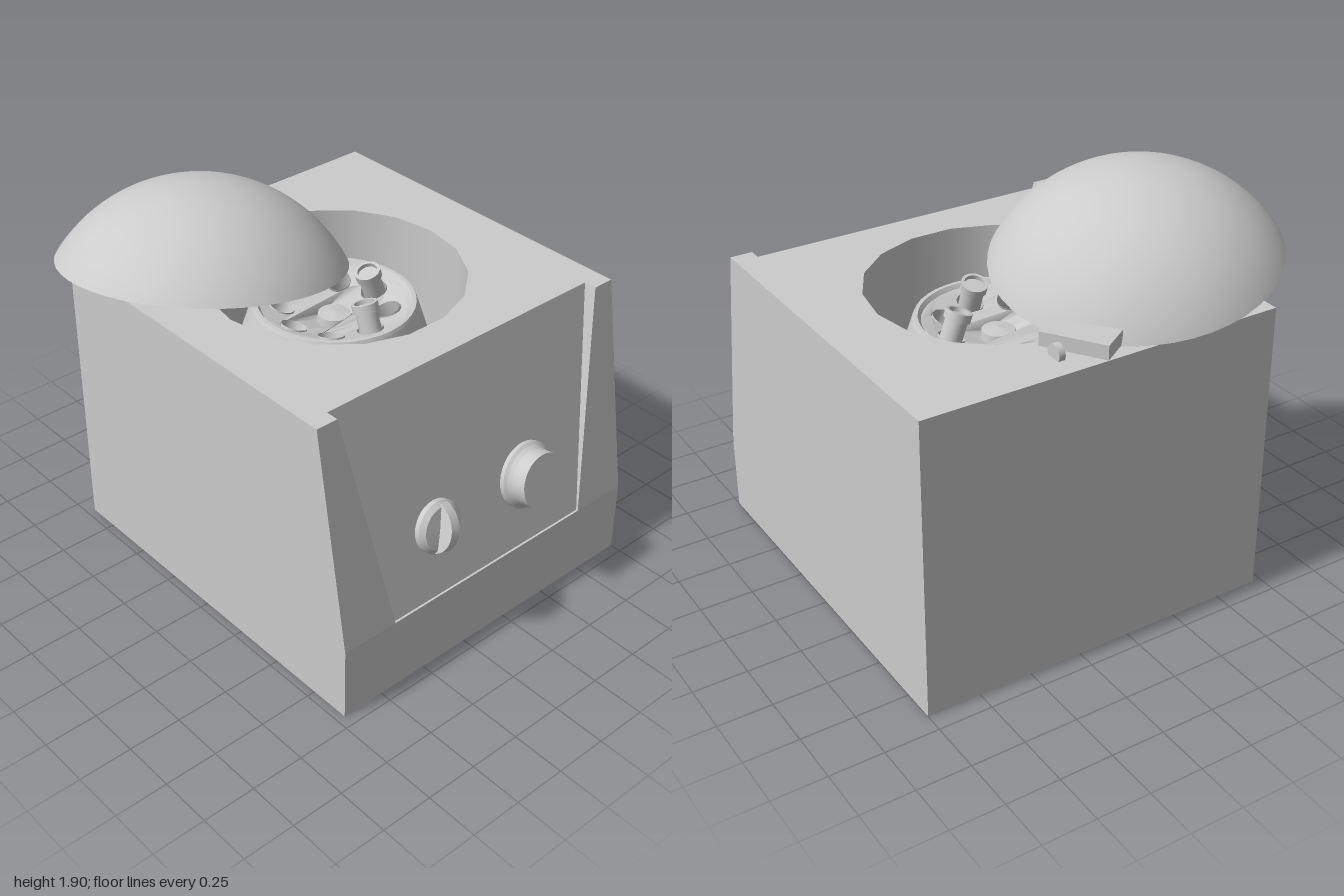
import * as THREE from 'three';

const mat = new THREE.MeshStandardMaterial({ color: 0xcccccc, side: THREE.DoubleSide });

function add(parent, name, geometry, x = 0, y = 0, z = 0) {
  const mesh = new THREE.Mesh(geometry, mat);
  mesh.name = name;
  mesh.position.set(x, y, z);
  parent.add(mesh);
  return mesh;
}

function group(parent, name, x = 0, y = 0, z = 0) {
  const g = new THREE.Group();
  g.name = name;
  g.position.set(x, y, z);
  parent.add(g);
  return g;
}

// flat-shaded four-cornered faces, corners counter-clockwise from outside
function quads(list) {
  const pos = [];
  for (const [a, b, c, d] of list) pos.push(...a, ...b, ...c, ...a, ...c, ...d);
  const g = new THREE.BufferGeometry();
  g.setAttribute('position', new THREE.Float32BufferAttribute(pos, 3));
  g.computeVertexNormals();
  return g;
}

// each profile segment becomes its own lathe, so corners stay crisp
function turned(parent, name, profile, segments = 32) {
  const g = group(parent, name);
  for (let i = 0; i + 1 < profile.length; i++) {
    const pts = [profile[i], profile[i + 1]].map(p => new THREE.Vector2(...p));
    add(g, name + 'Surface', new THREE.LatheGeometry(pts, segments));
  }
  return g;
}

const TOP = 1.4, WELL_R = 0.59, WELL_X = 0.125, WELL_Z = -0.07, FLOOR = 0.88;

function buildHousing(root) {
  const CX = 0.145, W = 0.855, back = -0.91, front = 0.945, brow = 0.77, step = 0.36;
  const panelTop = 0.75, panelLow = 0.572, recessTop = 0.71, recessLow = 0.935;
  const body = group(root, 'housing', CX);
  const P = (x, y, z) => [x, y, z];
  const faces = [
    [P(-W, 0, back), P(W, 0, back), P(W, 0, front), P(-W, 0, front)],
    [P(W, 0, back), P(-W, 0, back), P(-W, TOP, back), P(W, TOP, back)],
    [P(-W, 0, front), P(W, 0, front), P(W, step, front), P(-W, step, front)],
    [P(-panelLow, step, front), P(panelLow, step, front), P(panelLow, step, recessLow), P(-panelLow, step, recessLow)],
    [P(-panelLow, step, recessLow), P(panelLow, step, recessLow), P(panelTop, TOP, recessTop), P(-panelTop, TOP, recessTop)],
  ];
  for (const s of [-1, 1]) {
    const mirrored = [
      [P(s * W, 0, front), P(s * W, 0, back), P(s * W, step, back), P(s * W, step, front)],
      [P(s * W, step, front), P(s * W, step, back), P(s * W, TOP, back), P(s * W, TOP, brow)],
      [P(s * panelLow, step, front), P(s * W, step, front), P(s * W, TOP, brow), P(s * panelTop, TOP, brow)],
      [P(s * panelLow, step, recessLow), P(s * panelLow, step, front), P(s * panelTop, TOP, brow), P(s * panelTop, TOP, recessTop)],
    ];
    for (const f of mirrored) faces.push(s > 0 ? f : f.reverse());
  }
  add(body, 'housingWalls', quads(faces));

  // top plate with the panel notch and the round opening
  const plate = new THREE.Shape([
    [-W, back], [W, back], [W, brow], [panelTop, brow], [panelTop, recessTop],
    [-panelTop, recessTop], [-panelTop, brow], [-W, brow],
  ].map(([x, z]) => new THREE.Vector2(x, -z)));
  const ring = [];
  for (let i = 0; i < 18; i++) {
    const a = i / 18 * Math.PI * 2;
    ring.push(new THREE.Vector2(WELL_X - CX + WELL_R * Math.cos(a), -WELL_Z + WELL_R * Math.sin(a)));
  }
  plate.holes.push(new THREE.Path(ring));
  add(body, 'topPlate', new THREE.ShapeGeometry(plate).rotateX(-Math.PI / 2), 0, TOP);

  // chamber wall and floor
  const wall = new THREE.CylinderGeometry(WELL_R, WELL_R, TOP - FLOOR, 18, 1, true).rotateY(Math.PI / 2);
  add(root, 'chamberWall', wall, WELL_X, (TOP + FLOOR) / 2, WELL_Z);
  add(root, 'chamberFloor', new THREE.CircleGeometry(WELL_R, 18).rotateX(-Math.PI / 2), WELL_X, FLOOR, WELL_Z);
}

function buildRotor(root) {
  const rotor = group(root, 'rotor', 0.14, 0, -0.09);
  turned(rotor, 'rotorBody', [[0.49, FLOOR], [0.375, 1.24], [0.368, 1.255], [0.35, 1.255], [0.335, 1.233]], 40);

  // dished plate pierced by eight tube holes
  const disc = new THREE.Shape().absarc(0, 0, 0.338, 0, Math.PI * 2);
  const hole = (x, y, r) => disc.holes.push(new THREE.Path().absarc(x, y, r, 0, Math.PI * 2, true));
  hole(0, 0, 0.08);
  for (let i = 0; i < 8; i++) hole(0.24 * Math.cos(i * Math.PI / 4), 0.24 * Math.sin(i * Math.PI / 4), 0.06);
  const dish = new THREE.ShapeGeometry(disc, 20).rotateX(-Math.PI / 2);
  const p = dish.attributes.position;
  for (let i = 0; i < p.count; i++) p.setY(i, 1.235 - (0.338 - Math.hypot(p.getX(i), p.getZ(i))) * 0.35);
  dish.computeVertexNormals();
  add(rotor, 'rotorDish', dish);
  turned(rotor, 'rotorHub', [[0.081, 1.14], [0.075, 1.18], [0, 1.19]], 24);

  // tilted sockets, two of them holding tubes
  for (let i = 0; i < 8; i++) {
    const arm = group(rotor, 'socketArm');
    arm.rotation.y = -i * Math.PI / 4;
    const socket = group(arm, 'socket', 0.24, 1.2, 0);
    socket.rotation.z = 0.35;
    turned(socket, 'socketWall', [[0.06, 0.01], [0.06, -0.2], [0, -0.23]], 20);
    if (i === 0 || i === 2) {
      turned(socket, 'tube', [[0, -0.2], [0.05, -0.18], [0.05, 0.09], [0.06, 0.09], [0.06, 0.13],
        [0.046, 0.13], [0.046, 0.11], [0, 0.11]], 20);
    }
  }
}

function buildLid(root) {
  // hollow spherical cap, tipped down toward its hinge
  const R = 0.735, r = 0.635, T = 0.025, drop = Math.sqrt(R * R - r * r);
  const lid = group(root, 'lid', -0.375, 1.53, -0.37);
  lid.quaternion.setFromUnitVectors(new THREE.Vector3(0, 1, 0), new THREE.Vector3(0.17, 1, -0.13).normalize());
  const inner = R - T, rIn = Math.sqrt(inner * inner - drop * drop);
  add(lid, 'lidOuter', new THREE.SphereGeometry(R, 48, 16, 0, Math.PI * 2, 0, Math.acos(drop / R)), 0, -drop);
  add(lid, 'lidInner', new THREE.SphereGeometry(inner, 48, 16, 0, Math.PI * 2, 0, Math.acos(drop / inner)), 0, -drop);
  add(lid, 'lidRim', new THREE.RingGeometry(rIn, r, 48).rotateX(Math.PI / 2));

  // hinge block and its two half-round lugs
  const block = add(root, 'hingeBlock', new THREE.BoxGeometry(0.15, 0.065, 0.3), 0.165, 1.435, -0.745);
  block.rotation.y = Math.atan2(0.17, 0.26);
  for (const x of [-0.035, 0.3]) {
    const lug = new THREE.CylinderGeometry(0.042, 0.042, 0.03, 20).rotateZ(Math.PI / 2);
    add(root, 'hingeLug', lug, x, 1.42, -0.775);
  }
}

function buildKnobs(root) {
  const tilt = Math.atan2(0.225, 1.04);
  const mount = (name, x) => {
    const g = group(root, name, x, 0.68, 0.866);
    g.rotation.x = -tilt;
    return g;
  };
  const round = mount('roundKnob', 0.415);
  turned(round, 'roundKnobBody', [[0.155, 0], [0.155, 0.02], [0.142, 0.032], [0.132, 0.05], [0.13, 0.12], [0, 0.12]])
    .rotation.x = Math.PI / 2;

  const pointer = mount('pointerKnob', -0.13);
  turned(pointer, 'pointerKnobBase', [[0.122, 0], [0.122, 0.025], [0.1, 0.045], [0, 0.05]])
    .rotation.x = Math.PI / 2;
  const grip = new THREE.CylinderGeometry(0.118, 0.118, 0.045, 24, 1, false, -Math.PI / 2, Math.PI).rotateZ(Math.PI / 2);
  add(pointer, 'pointerKnobGrip', grip).rotation.z = -0.26;
}

export function createModel() {
  const model = new THREE.Group();
  model.name = 'benchCentrifuge';
  buildHousing(model);
  buildRotor(model);
  buildLid(model);
  buildKnobs(model);
  return model;
}
